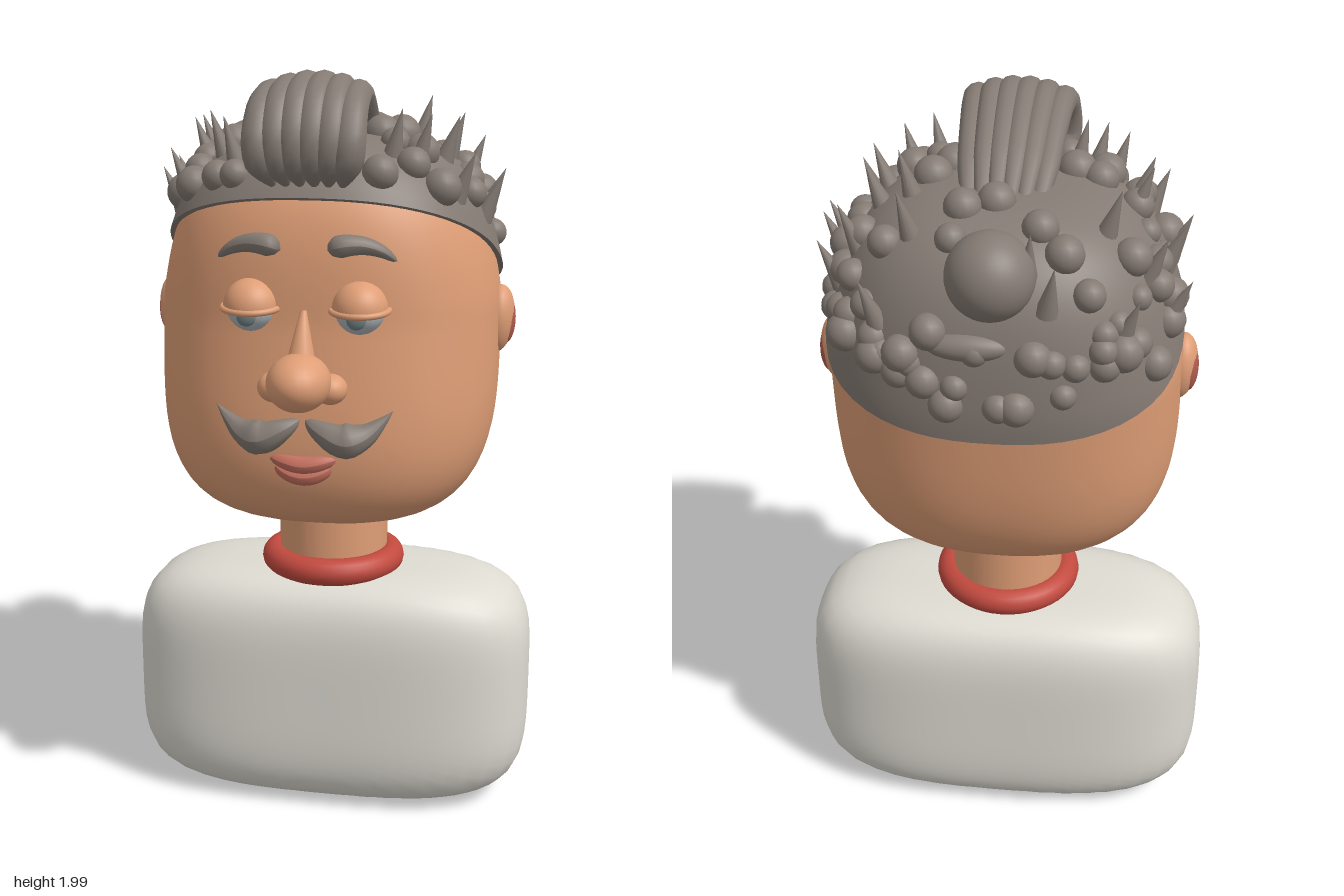
import * as THREE from 'three';
import { mergeVertices, toCreasedNormals } from 'three/addons/utils/BufferGeometryUtils.js';

const mat = (name, color, side = THREE.FrontSide) => {
  const m = new THREE.MeshStandardMaterial({ color, side });
  m.name = name;
  return m;
};

export function createModel() {
  const model = new THREE.Group();
  model.name = 'bust';
  const skin = mat('skin', 0xdf9e76);
  const hair = mat('hair', 0x857b74, THREE.DoubleSide);
  const cloth = mat('cloth', 0xdedbd2);
  const red = mat('collarRed', 0xc24a3f);
  const lip = mat('lip', 0xc4705f);
  const earRed = mat('innerEar', 0xb05d50);
  const eyeGrey = mat('eyeball', 0xb3babe);
  const iris = mat('iris', 0x6f7f84);

  const add = (name, geo, material, pos = [0, 0, 0], parent = model) => {
    const m = new THREE.Mesh(geo, material);
    m.name = name;
    m.position.set(...pos);
    parent.add(m);
    return m;
  };
  const ball = (name, r, pos, material, parent, seg = 24) => {
    const m = add(name, new THREE.SphereGeometry(1, seg, Math.round(seg * 0.7)), material, pos, parent);
    m.scale.set(...(Array.isArray(r) ? r : [r, r, r]));
    return m;
  };
  // moves every vertex of a sphere by a rule, with welded smooth normals
  const shapedSphere = (w, h, rule) => {
    let g = new THREE.SphereGeometry(1, w, h);
    g.deleteAttribute('uv');
    g.deleteAttribute('normal');
    g = mergeVertices(g, 1e-4);
    const p = g.attributes.position, v = new THREE.Vector3();
    for (let i = 0; i < p.count; i++) {
      rule(v.fromBufferAttribute(p, i));
      p.setXYZ(i, v.x, v.y, v.z);
    }
    g.computeVertexNormals();
    return g;
  };
  // soft box: n rounds the plan, m rounds the elevation
  const softNorm = (x, y, z, [a, b, c], n, m) => Math.pow(
    Math.pow(Math.pow(Math.abs(x / a), n) + Math.pow(Math.abs(z / c), n), m / n) + Math.pow(Math.abs(y / b), m), 1 / m);
  // tube whose thickness follows a rule along its length
  const taperTube = (pts, radius, seg = 20, sides = 12) => {
    const curve = new THREE.CatmullRomCurve3(pts.map(p => new THREE.Vector3(...p)));
    const g = new THREE.TubeGeometry(curve, seg, 1, sides);
    const p = g.attributes.position, v = new THREE.Vector3();
    for (let i = 0; i < p.count; i++) {
      const t = Math.floor(i / (sides + 1)) / seg, c = curve.getPointAt(t);
      v.fromBufferAttribute(p, i).sub(c).multiplyScalar(Math.max(radius(t), 0.0005)).add(c);
      p.setXYZ(i, v.x, v.y, v.z);
    }
    g.computeVertexNormals();
    return g;
  };

  // torso, collar and neck
  const torsoSize = [0.552, 0.328, 0.263];
  add('torso', shapedSphere(64, 44, v => v.divideScalar(softNorm(v.x, v.y, v.z, torsoSize, 3, 4.6))),
    cloth, [0, 0.335, -0.066]);
  const collar = add('collar', new THREE.TorusGeometry(0.16, 0.037, 16, 48), red, [0, 0.681, -0.045]);
  collar.rotation.x = Math.PI / 2;
  add('neck', new THREE.CylinderGeometry(0.149, 0.149, 0.34, 40), skin, [0, 0.76, -0.052]);

  // head: jaw pushed forward, crown narrowed
  const headSize = [0.445, 0.495, 0.395], headY = 1.335, N = 2.4, M = 3.5;
  const headZ = y => -0.05 + 0.11 * Math.max(0, 1.4 - y);
  const crown = y => 1 - 0.33 * Math.max(0, y - 1.42);
  add('head', shapedSphere(64, 48, v => {
    v.divideScalar(softNorm(v.x, v.y, v.z, headSize, N, M));
    v.y += headY;
    v.x *= crown(v.y);
    v.z += headZ(v.y);
  }), skin);

  // hair cap, cut along a tilted hairline plane
  const hairline = z => 1.555 + 0.465 * z;
  const capSize = headSize.map(s => s + 0.014);
  const base = new THREE.Vector3(0, hairline(-0.05), -0.05);
  const tilt = new THREE.Quaternion().setFromAxisAngle(new THREE.Vector3(1, 0, 0), -Math.atan(0.465));
  const capNorm = q => softNorm(q.x / crown(q.y), q.y - headY, q.z - headZ(q.y), capSize, N, M);
  const cast = (from, dir) => {
    let lo = 0, hi = 1.2;
    const q = new THREE.Vector3();
    for (let i = 0; i < 28; i++) {
      const t = (lo + hi) / 2;
      if (capNorm(q.copy(from).addScaledVector(dir, t)) < 1) lo = t; else hi = t;
    }
    return q;
  };
  const cap = shapedSphere(64, 40, v => {
    const below = v.y < -1e-4, inset = below ? Math.hypot(v.x, v.z) : 1;
    if (below) v.y = 0;
    if (v.lengthSq() < 1e-8) { v.copy(base); return; }
    v.normalize().applyQuaternion(tilt);
    v.copy(cast(base, v).sub(base).multiplyScalar(inset).add(base));
  });
  add('hairCap', toCreasedNormals(cap, 0.9), hair);

  // curls and spikes, dropped onto the cap at [x, z]
  const up = new THREE.Vector3(0, 1, 0);
  const onCap = (x, z) => {
    const q = new THREE.Vector3(x, hairline(z) + 0.06, z);
    while (capNorm(q) > 0.98) {
      q.x *= 0.98;
      q.z = (q.z + 0.05) * 0.98 - 0.05;
      q.y = hairline(q.z) + 0.06;
    }
    return cast(q, up);
  };
  let seed = 7;
  const rand = () => (seed = (seed * 16807) % 2147483647) / 2147483647;
  const curls = new THREE.Group();
  curls.name = 'curls';
  const spikes = new THREE.Group();
  spikes.name = 'spikes';
  model.add(curls, spikes);
  [[-.29, -.44], [-.34, -.41], [-.37, -.38], [-.22, -.37], [-.16, -.33], [-.1, -.28], [-.37, -.22], [-.31, -.24],
    [-.4, -.18], [.14, -.43], [.21, -.43], [.28, -.4], [.37, -.33], [.34, -.27], [.26, -.275], [.01, -.19],
    [.085, -.22], [.1, -.32], [.38, -.12], [.33, -.18], [.18, -.04], [.14, .03], [.185, .11], [.24, .18],
    [.31, .17], [.25, .1], [.17, .25], [-.22, .01], [-.23, .075], [-.16, .03], [-.315, .11], [-.31, .05],
    [-.345, .18], [-.25, .235], [-.19, .25], [-.13, .18], [-.31, -.03], [.37, .05], [-.38, .03]
  ].forEach(([x, z]) => ball('curl', 0.036 + 0.014 * rand(), onCap(x, z).toArray(), hair, curls, 16));
  // lower curls around the sides and back
  for (let i = 0; i < 34; i++) {
    const az = -0.25 + (Math.PI + 0.5) * (i + rand() * 0.8) / 34, el = 0.16 + 0.4 * rand();
    const d = new THREE.Vector3(Math.cos(az) * Math.cos(el), Math.sin(el), -Math.sin(az) * Math.cos(el));
    const p = cast(base, d.applyQuaternion(tilt)).addScaledVector(d, -0.01);
    ball('curl', 0.032 + 0.014 * rand(), p.toArray(), hair, curls, 16);
  }
  ball('longCurl', [0.1, 0.035, 0.04], [0.05, 1.59, -0.43], hair, curls);
  const cone = new THREE.ConeGeometry(0.028, 0.13, 12);
  cone.translate(0, 0.045, 0);
  [[-.3, -.36], [-.13, -.41], [-.35, -.23], [-.25, -.22], [-.42, -.22], [.27, -.375], [.2, -.28], [.22, -.12],
    [.34, -.2], [.3, -.09], [.3, .02], [.41, 0], [.25, .13], [.36, .13], [-.31, -.04], [-.31, .03], [-.16, .09],
    [.39, -.2], [-.08, -.38], [-.4, 0], [-.35, .13], [-.25, .12], [.19, .17], [-.2, .2], [.4, -.08], [-.39, -.1]
  ].forEach(([x, z]) => {
    const m = add('spike', cone, hair, onCap(x, z).toArray(), spikes);
    m.quaternion.setFromUnitVectors(up, new THREE.Vector3(x, 0.85, (z + 0.05) * 0.6).normalize());
  });
  ball('bun', 0.103, [0, 1.755, -0.405], hair, model, 32);

  // arched forelock made of parallel strands, thicker toward the front
  const forelock = new THREE.Group();
  forelock.name = 'forelock';
  model.add(forelock);
  for (let i = 0; i < 6; i++) {
    const s = (i - 2.5) / 2.5, drop = 0.022 * s * s;
    const path = [[.08, 1.82, -.17], [.093, 1.895, -.03], [.1, 1.945, .09], [.106, 1.963, .2], [.11, 1.925, .3],
      [.11, 1.84, .346], [.1, 1.775, .328], [.085, 1.73, .29]].map(([x, y, z]) => [x * s, y - (y > 1.8 ? drop : 0), z]);
    add('strand', taperTube(path, t => (0.027 + 0.015 * t) * Math.min(1, 0.6 + t * 2, (1 - t) * 8 + 0.2), 36),
      hair, [0, 0, 0], forelock);
  }

  // nose
  ball('noseTip', [0.079, 0.071, 0.1], [0, 1.27, 0.407], skin);
  add('noseBridge', taperTube([[0, 1.435, 0.345], [0, 1.37, 0.365], [0, 1.28, 0.385]], t => 0.008 + 0.036 * t), skin);

  // paired features
  for (const s of [1, -1]) {
    const side = s > 0 ? 'left' : 'right';
    ball(side + 'Nostril', [0.042, 0.038, 0.045], [0.07 * s, 1.248, 0.365], skin);
    ball(side + 'Ear', [0.042, 0.09, 0.06], [0.44 * s, 1.36, -0.055], skin).rotation.z = -0.08 * s;
    ball(side + 'InnerEar', [0.026, 0.066, 0.044], [0.459 * s, 1.36, -0.059], earRed);

    // eye with a heavy upper lid
    const eye = new THREE.Group();
    eye.name = side + 'Eye';
    eye.position.set(0.135 * s, 1.44, 0.325);
    model.add(eye);
    ball('eyeball', 0.062, [0, 0, 0], eyeGrey, eye);
    ball('iris', [0.024, 0.024, 0.01], [0, -0.018, 0.055], iris, eye);
    const lid = add('upperLid', new THREE.SphereGeometry(0.069, 28, 12, 0, Math.PI * 2, 0, Math.PI / 2), skin, [0, 0, 0], eye);
    lid.rotation.x = 0.1;
    const rim = add('lidRim', new THREE.TorusGeometry(0.066, 0.008, 10, 36), skin, [0, -0.002, 0], eye);
    rim.rotation.x = Math.PI / 2 + 0.1;
    rim.scale.x = 1.06;

    add(side + 'Eyebrow', taperTube([[.058 * s, 1.58, .335], [.09 * s, 1.592, .34], [.14 * s, 1.594, .33],
      [.185 * s, 1.58, .318], [.222 * s, 1.555, .305]],
    t => 0.031 * Math.pow(Math.min(1, t * 6), 0.5) * Math.pow(1 - t, 0.5)), hair);
    add(side + 'Moustache', taperTube([[.006 * s, 1.168, .365], [.05 * s, 1.143, .378], [.1 * s, 1.122, .375],
      [.15 * s, 1.132, .362], [.19 * s, 1.162, .352], [.222 * s, 1.195, .345]],
    t => 0.046 * Math.pow(Math.min(1, t * 2.2), 0.6) * Math.min(1, 1.9 * (1 - t))), hair);
  }

  // lips
  const belly = r => t => r * Math.pow(Math.sin(Math.PI * t), 0.6);
  add('upperLip', taperTube([[-.1, 1.074, .347], [-.05, 1.06, .36], [0, 1.052, .364], [.05, 1.06, .36], [.1, 1.074, .347]],
    belly(0.024)), lip);
  add('lowerLip', taperTube([[-.088, 1.058, .345], [-.045, 1.031, .355], [0, 1.021, .358], [.045, 1.031, .355], [.088, 1.058, .345]],
    belly(0.024)), lip);

  return model;
}
